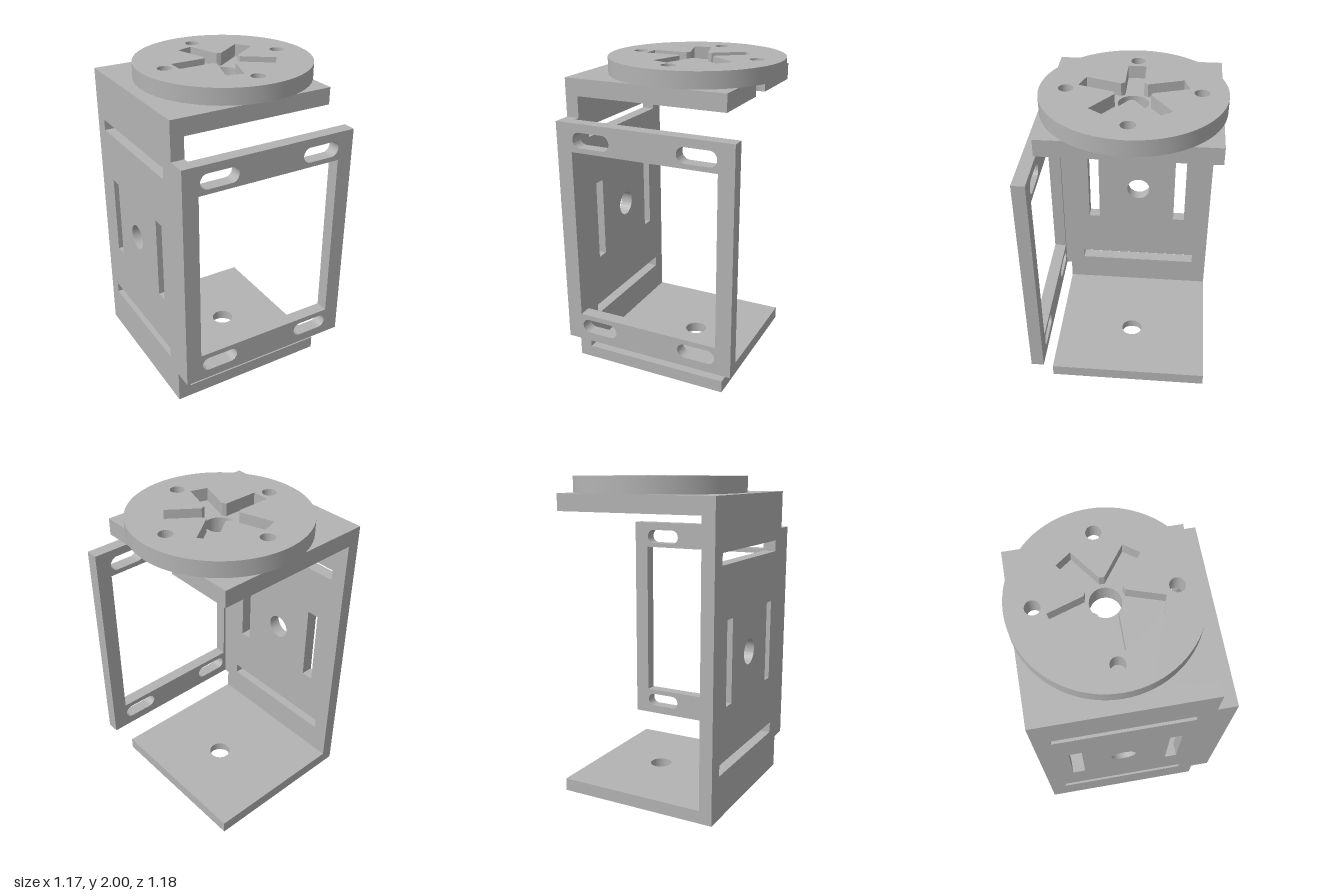
import * as THREE from 'three';
import { toCreasedNormals } from 'three/addons/utils/BufferGeometryUtils.js';

// Main dimensions
const X0 = -0.585, X1 = 0.455, Z0 = -0.565, Z1 = 0.472; // bracket footprint
const WALL_X = -0.503;
const CX = 0.038, CZ = -0.045; // rotation axis
const PITCH = 0.39, BOLT_R = 0.044, BORE_R = 0.082;

const circle = (x, y, r) => new THREE.Path().absarc(x, y, r, 0, Math.PI * 2, true);

const polygon = (pts, Type = THREE.Path) => new Type(pts.map(([x, y]) => new THREE.Vector2(x, y)));

const rect = (x0, x1, y0, y1, Type = THREE.Path) =>
  polygon([[x0, y0], [x1, y0], [x1, y1], [x0, y1]], Type);

// Slot with round ends
function roundSlot(x0, x1, y0, y1) {
  const r = (y1 - y0) / 2, y = (y0 + y1) / 2;
  return new THREE.Path()
    .absarc(x1 - r, y, r, -Math.PI / 2, Math.PI / 2, false)
    .absarc(x0 + r, y, r, Math.PI / 2, Math.PI * 1.5, false);
}

function extrude(shape, holes, depth) {
  shape.holes.push(...holes);
  return new THREE.ExtrudeGeometry(shape, { depth, bevelEnabled: false, curveSegments: 40 });
}

// Horizontal plate: shape coordinates are (x, -z)
const flatPlate = (shape, holes, y0, y1) =>
  extrude(shape, holes, y1 - y0).rotateX(-Math.PI / 2).translate(0, y0, 0);

// Top plate outline whose right edge is broken by a bolt hole of radius r
function notchedOutline(r) {
  const cx = CX + PITCH, a = Math.acos((X1 - cx) / r);
  const s = new THREE.Shape();
  s.moveTo(X0, -Z1);
  s.lineTo(X1, -Z1);
  s.absarc(cx, -CZ, r, -a, a, true);
  s.lineTo(X1, -Z0);
  s.lineTo(X0, -Z0);
  s.closePath();
  return s;
}

// Bolt circle holes, beginning at index first
function boltHoles(r, first = 0) {
  const holes = [];
  for (let i = first; i < 4; i++) {
    const a = i * Math.PI / 2;
    holes.push(circle(CX + PITCH * Math.cos(a), -CZ + PITCH * Math.sin(a), r));
  }
  return holes;
}

// Five-armed recess
function starPath() {
  const pts = [], w = 0.055, inner = 0.1, outer = 0.32;
  for (let i = 0; i < 5; i++) {
    const a = Math.PI + i * Math.PI * 0.4, c = Math.cos(a), s = Math.sin(a);
    for (const [u, v] of [[inner, -w], [outer, -w], [outer, w], [inner, w]])
      pts.push([CX + u * c - v * s, -CZ + u * s + v * c]);
  }
  return polygon(pts);
}

export function createModel() {
  const model = new THREE.Group();
  model.name = 'servoBracket';
  const grey = new THREE.MeshStandardMaterial({ color: 0xb3b3b3 });
  grey.name = 'grey';

  const add = (name, geometry) => {
    const mesh = new THREE.Mesh(toCreasedNormals(geometry, 0.5), grey);
    mesh.name = name;
    model.add(mesh);
  };
  const disc = () => new THREE.Shape().absarc(CX, -CZ, 0.545, 0, Math.PI * 2, false);
  const base = () => rect(X0, X1, -Z1, -Z0, THREE.Shape);

  // Base plate with a counterbored pivot hole
  add('basePlateLower', flatPlate(base(), [circle(CX, -CZ, 0.09)], 0, 0.025));
  add('basePlateUpper', flatPlate(base(), [circle(CX, -CZ, 0.07)], 0.025, 0.08));

  // Top plate: wide bores below, bolt holes above
  add('topPlateLower', flatPlate(notchedOutline(BORE_R),
    [circle(CX, -CZ, 0.09), ...boltHoles(BORE_R, 1)], 1.795, 1.875));
  add('topPlateUpper', flatPlate(notchedOutline(BOLT_R),
    [circle(CX, -CZ, 0.09), ...boltHoles(BOLT_R, 1)], 1.875, 1.9));

  // Side wall with strap slots and cable hole; shape coordinates are (-z, y)
  const wallHoles = [
    rect(-0.37, 0.465, 1.52, 1.59),
    rect(-0.37, 0.465, 0.275, 0.345),
    rect(-0.317, -0.24, 0.68, 1.2),
    rect(0.305, 0.385, 0.68, 1.2),
    circle(-CZ, 0.94, 0.08),
  ];
  add('sideWall', extrude(rect(-Z1, -Z0, 0, 1.9, THREE.Shape), wallHoles, WALL_X - X0)
    .rotateY(Math.PI / 2).translate(X0, 0, 0));

  // Strip joining the wall to the front frame
  add('frameJoint', new THREE.BoxGeometry(WALL_X - X0, 1.453, 0.036)
    .translate((X0 + WALL_X) / 2, 0.9365, 0.49));

  // Front mounting frame
  const frameHoles = [rect(-0.485, 0.457, 0.393, 1.485)];
  for (const [y0, y1] of [[0.268, 0.36], [1.515, 1.61]])
    for (const [x0, x1] of [[-0.475, -0.228], [0.205, 0.452]])
      frameHoles.push(roundSlot(x0, x1, y0, y1));
  add('frontFrame', extrude(rect(X0, 0.557, 0.21, 1.663, THREE.Shape), frameHoles, 0.082)
    .translate(0, 0, 0.508));

  // Turntable disc: thin floor and a layer with the star recess
  add('discFloor', flatPlate(disc(), [circle(CX, -CZ, 0.09), ...boltHoles(BOLT_R)], 1.9, 1.92));
  add('discTop', flatPlate(disc(), [starPath(), ...boltHoles(BOLT_R)], 1.92, 2));

  return model;
}
